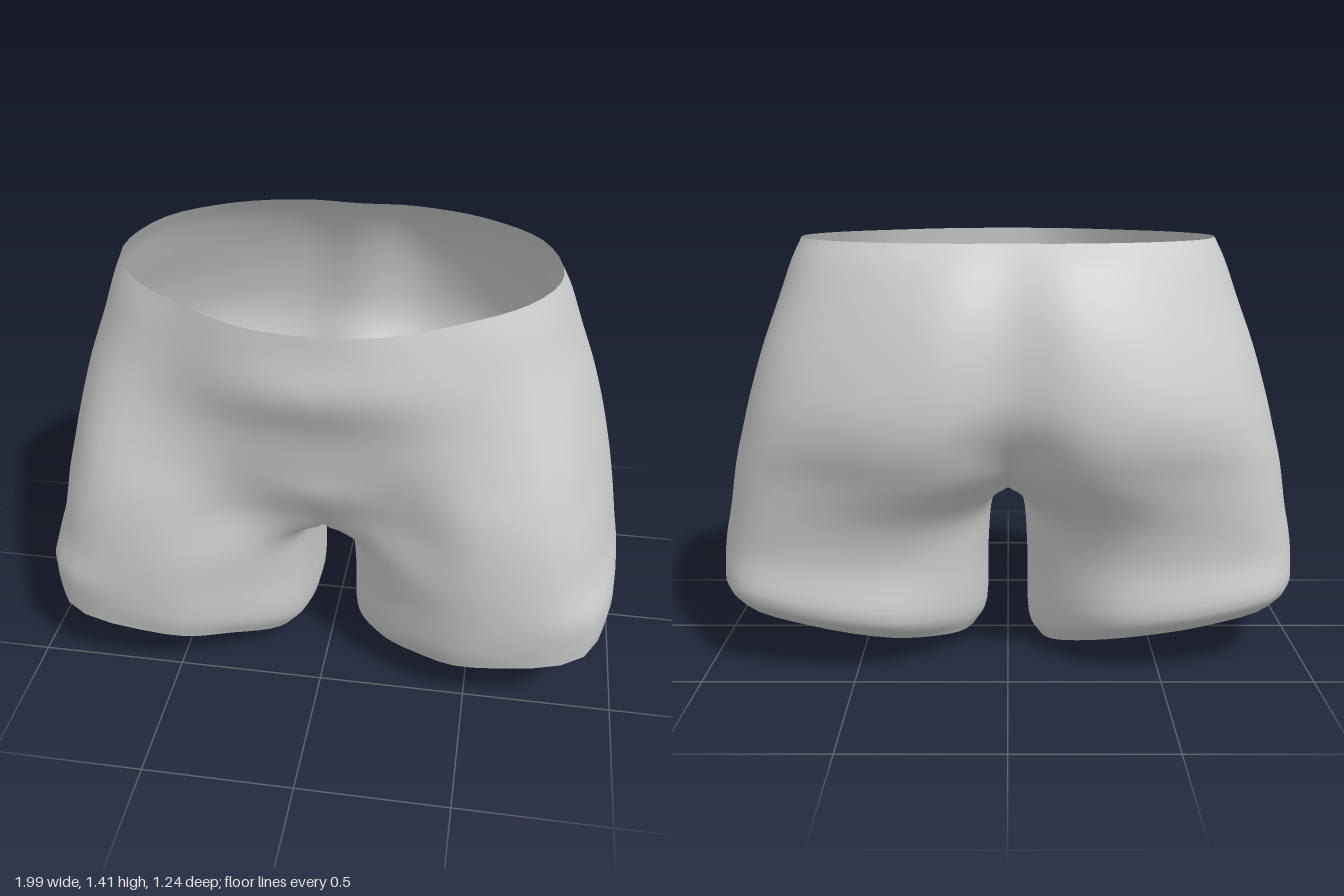
import * as THREE from 'three';
import { mergeVertices } from 'three/addons/utils/BufferGeometryUtils.js';

const SUB = 4;              // subdivisions between control points
const OUT = 8 * SUB;        // columns from front centre round the hip to back centre
const ALL = 12 * SUB;       // columns all the way round one leg

// Torso sections: height, half width, then depths from front centre to back centre
const FRACTIONS = [0, 0.28, 0.56, 0.86, 1, 0.9, 0.61, 0.28, 0];
const TORSO = [
  [1.41, 0.71, 0.60, 0.575, 0.47, 0.30, 0.08, -0.18, -0.34, -0.405, -0.40],
  [1.33, 0.745, 0.605, 0.585, 0.48, 0.32, 0.06, -0.22, -0.395, -0.48, -0.465],
  [1.20, 0.79, 0.62, 0.595, 0.495, 0.35, 0.05, -0.27, -0.46, -0.55, -0.525],
  [1.05, 0.845, 0.565, 0.555, 0.505, 0.40, 0.05, -0.32, -0.515, -0.595, -0.56],
  [0.90, 0.89, 0.535, 0.53, 0.535, 0.45, 0.05, -0.35, -0.55, -0.615, -0.565],
  [0.78, 0.92, 0.515, 0.505, 0.57, 0.48, 0.05, -0.36, -0.54, -0.60, -0.51],
];
const CROTCH = [0.66, 0.945, 0.41, 0.485, 0.59, 0.495, 0.05, -0.35, -0.50, -0.545, -0.39];

// Leg sections as x, z pairs: outer side front to back, then inner side back to front
const THIGH = [[0.1, 0.35], [0.28, 0.5], [0.55, 0.6], [0.86, 0.505], [0.97, 0.05], [0.89, -0.335],
  [0.65, -0.45], [0.33, -0.455], [0.13, -0.29], [0.06, -0.13], [0.055, 0.02], [0.06, 0.18]];
const LOWER = [[0.12, 0.33], [0.28, 0.48], [0.54, 0.595], [0.9, 0.515], [0.99, 0.05], [0.92, -0.32],
  [0.67, -0.435], [0.36, -0.42], [0.16, -0.27], [0.08, -0.12], [0.07, 0.02], [0.08, 0.18]];
const HEM = [[0.18, 0.32], [0.32, 0.45], [0.53, 0.56], [0.89, 0.505], [0.985, 0.05], [0.89, -0.28],
  [0.65, -0.37], [0.39, -0.36], [0.2, -0.24], [0.125, -0.11], [0.115, 0.03], [0.13, 0.18]];

const V = (x, y, z) => new THREE.Vector3(x, y, z);
const torsoPoints = ([y, w, ...zs]) => zs.map((z, i) => V(w * FRACTIONS[i], y, z));

// Smooth curve through points, sampled evenly between them
function refine(points, closed, count = points.length * SUB) {
  const curve = new THREE.CatmullRomCurve3(points, closed, 'catmullrom', 0.5);
  const total = (closed ? points.length : points.length - 1) * SUB;
  return Array.from({ length: count }, (_, k) => curve.getPoint(k / total));
}

// Leg openings rise towards the outside and the front; the right one hangs lower inside
function hemHeight(x, z, side) {
  const across = (x - 0.12) / 0.87;
  const sag = side < 0 ? 0.05 * Math.max(0, 1 - across * 4) * (1 - Math.abs(z)) : 0;
  return 0.05 + 0.15 * across + 0.2 * Math.max(0, z) ** 2 - sag;
}

function halfRows(side) {
  const torso = TORSO.map((row) => {
    const half = torsoPoints(row);
    const mirrored = half.slice(1, -1).reverse().map((p) => V(-p.x, p.y, p.z));
    return refine([...half, ...mirrored], true, OUT + 1);
  });
  const crotch = torsoPoints(CROTCH);
  crotch[0].y = 0.61;
  crotch[3].x = 0.825;
  crotch[5].x = 0.86;
  crotch.push(V(0, 0.575, -0.19), V(0, 0.55, 0.02), V(0, 0.555, 0.23));

  const hem = HEM.map(([x, z]) => V(x, hemHeight(x, z, side), z));
  const legs = [
    crotch,
    THIGH.map(([x, z]) => V(x, 0.51, z)),
    LOWER.map(([x, z], i) => V(x, 0.36 + (hem[i].y - 0.12) * 0.4, z)),
    LOWER.map(([x, z], i) => V(x + 0.005, hem[i].y + 0.08, z < -0.3 ? z - 0.02 : z * 0.98)),
    hem,
  ].map((points) => refine(points, true));
  return { torso, legs };
}

// One half of the garment: hip panel above, closed leg tube below
function addHalf(side, positions) {
  const { torso, legs } = halfRows(side);
  const columns = [];
  for (let k = 0; k < ALL; k++) {
    const upper = k <= OUT ? torso.map((row) => row[k]) : [];
    const path = [...upper, ...legs.map((row) => row[k])];
    const column = refine(path, false, (path.length - 1) * SUB + 1);
    const seam = upper.length * SUB;
    column.forEach((p, i) => {
      p.x = (i <= seam && (k === 0 || k >= OUT)) ? 0 : Math.max(0, p.x);
      p.y = Math.max(0, p.y);
    });
    columns.push({ hip: column.slice(0, seam + 1), leg: column.slice(seam) });
  }
  const push = (...points) => points.forEach((p) => positions.push(side * p.x, p.y, p.z));
  const skin = (a, b) => {
    for (let r = 0; r < a.length - 1; r++) {
      if (side > 0) push(a[r], a[r + 1], b[r], b[r], a[r + 1], b[r + 1]);
      else push(a[r], b[r], a[r + 1], b[r], b[r + 1], a[r + 1]);
    }
  };
  for (let k = 0; k < ALL; k++) {
    const next = columns[(k + 1) % ALL];
    if (k < OUT) skin(columns[k].hip, next.hip);
    skin(columns[k].leg, next.leg);
  }
}

export function createModel() {
  const fabric = new THREE.MeshStandardMaterial({ color: 0xcccccc, side: THREE.DoubleSide });
  fabric.name = 'light grey fabric';

  const positions = [];
  for (const side of [1, -1]) addHalf(side, positions);
  let geometry = new THREE.BufferGeometry();
  geometry.setAttribute('position', new THREE.Float32BufferAttribute(positions, 3));
  geometry = mergeVertices(geometry, 1e-4);
  geometry.computeVertexNormals();

  const shorts = new THREE.Mesh(geometry, fabric);
  shorts.name = 'shorts';
  const group = new THREE.Group();
  group.name = 'shortTrousers';
  group.add(shorts);
  return group;
}
